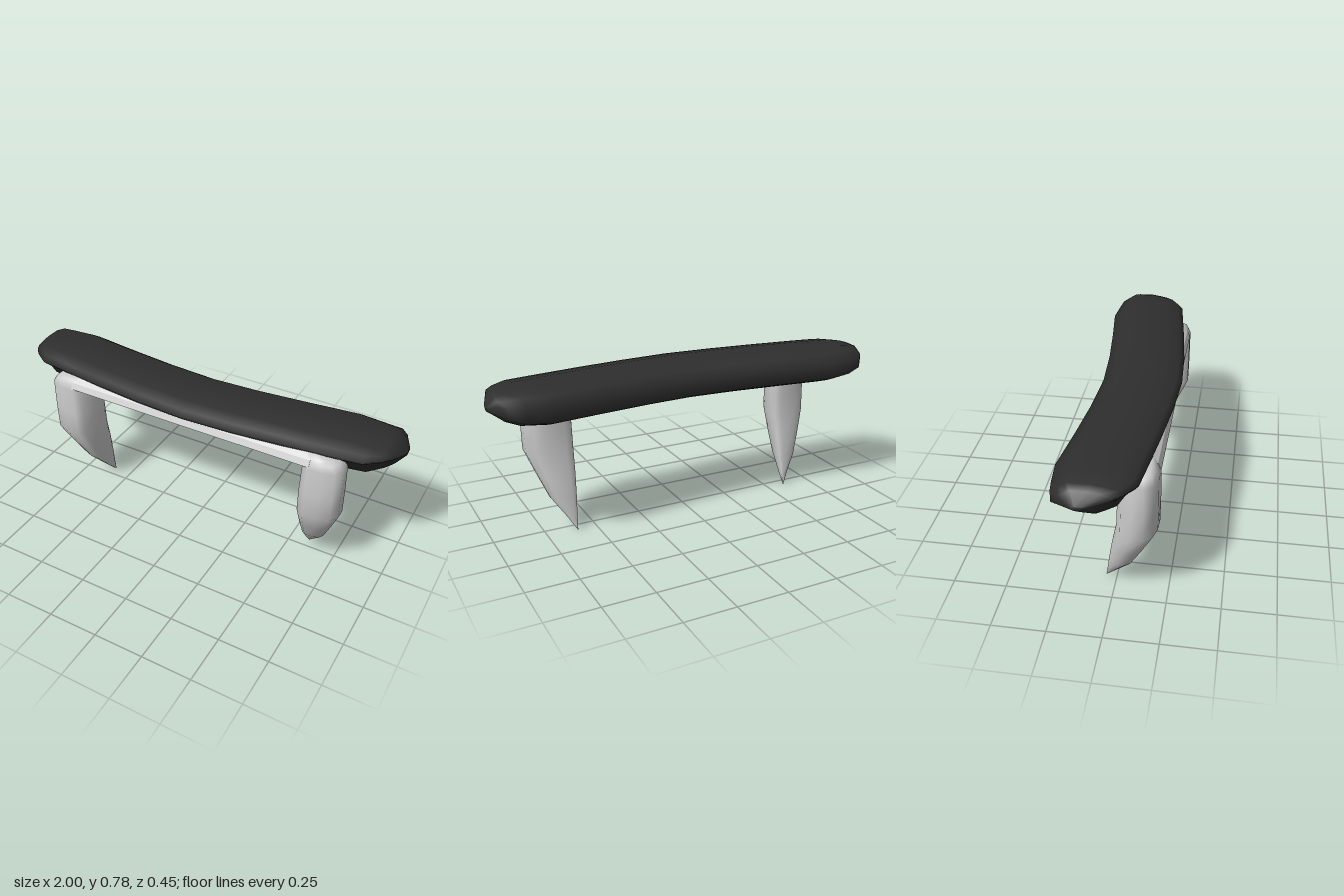
import * as THREE from 'three';

// Skin a list of equal-length rings (counter-clockwise about the loft direction) and close both ends.
function loft(rings) {
  const n = rings[0].length, pos = [], idx = [];
  rings.forEach(r => r.forEach(p => pos.push(...p)));
  for (let k = 0; k < rings.length - 1; k++) {
    for (let i = 0; i < n; i++) {
      const a = k * n + i, b = k * n + (i + 1) % n;
      idx.push(a, b, b + n, a, b + n, a + n);
    }
  }
  [0, rings.length - 1].forEach((k, end) => {
    const c = pos.length / 3;
    pos.push(...[0, 1, 2].map(j => rings[k].reduce((s, p) => s + p[j], 0) / n));
    for (let i = 0; i < n; i++) {
      const a = k * n + i, b = k * n + (i + 1) % n;
      end ? idx.push(a, b, c) : idx.push(b, a, c);
    }
  });
  const g = new THREE.BufferGeometry();
  g.setAttribute('position', new THREE.Float32BufferAttribute(pos, 3));
  g.setIndex(idx);
  g.computeVertexNormals();
  return g;
}

// Gum profile as [z, y]: front lip, over the top, down the back, undercut at the front
const GUM = [[0.225, 0.73], [0.2, 0.757], [0.14, 0.772], [0.06, 0.786], [-0.07, 0.782], [-0.115, 0.75],
  [-0.16, 0.715], [-0.16, 0.635], [-0.12, 0.618], [-0.05, 0.592], [0.075, 0.578],
  [0.13, 0.61], [0.165, 0.67], [0.195, 0.702], [0.21, 0.712]];

// Gum stations: x, shift in z, scale in z, shift in y, scale in y
const STATIONS = [[0, 0, 1, 0, 1], [0.25, -0.014, 1, 0, 1], [0.5, -0.04, 1, 0, 1], [0.74, -0.07, 1, 0, 0.99],
  [0.86, -0.072, 0.93, 0.004, 0.9], [0.93, -0.09, 0.78, 0.014, 0.69],
  [0.965, -0.09, 0.58, 0.02, 0.5], [1, -0.112, 0.15, 0.005, 0.12]];

function gumGeometry() {
  const half = STATIONS.slice().reverse();
  const all = [...half, ...STATIONS.slice(1).map(([x, ...r]) => [-x, ...r])];
  return loft(all.map(([x, dz, sz, dy, sy]) =>
    GUM.map(([z, y]) => [x, 0.695 + dy + (y - 0.695) * sy, 0.032 + dz + (z - 0.032) * sz])));
}

// Tooth section in a unit square: [inner to outer, back to front], cut away on the inner front
const TOOTH = [[0.3, 1], [0.15, 0.88], [0.06, 0.5], [0, 0.2], [0.04, 0.06], [0.2, 0], [0.58, 0.01],
  [0.84, 0.14], [1, 0.42], [1, 0.7], [0.88, 0.9], [0.62, 0.99]];

// Tooth levels: y, inner x, outer x, back z, front z
const LEVELS = [[0.72, 0.6, 0.67, 0.09, 0.165], [0.705, 0.595, 0.735, 0.05, 0.182],
  [0.69, 0.585, 0.765, 0.03, 0.193], [0.66, 0.575, 0.79, 0.02, 0.205], [0.52, 0.567, 0.792, 0.02, 0.205],
  [0.39, 0.565, 0.79, 0.014, 0.203], [0.27, 0.571, 0.744, -0.01, 0.145], [0.16, 0.579, 0.7, -0.028, 0.086],
  [0.06, 0.59, 0.632, -0.043, 0.002], [0.003, 0.595, 0.598, -0.052, -0.049]];

function toothGeometry(side) {
  return loft(LEVELS.map(([y, x0, x1, z0, z1]) => {
    const ring = TOOTH.map(([u, v]) => [side * (x0 + (x1 - x0) * u), y, z0 + (z1 - z0) * v]);
    return side < 0 ? ring.reverse() : ring;
  }));
}

// Straight bar with a bevelled top front edge, extruded along x
function barGeometry() {
  const s = new THREE.Shape([[-0.205, 0.668], [-0.19, 0.698], [-0.16, 0.72], [-0.05, 0.72], [-0.05, 0.668]]
    .map(p => new THREE.Vector2(...p)));
  const g = new THREE.ExtrudeGeometry(s, { depth: 1.29, bevelEnabled: false });
  g.translate(0, 0, -0.645);
  g.rotateY(Math.PI / 2);
  return g;
}

export function createModel() {
  const group = new THREE.Group();
  const grey = new THREE.MeshStandardMaterial({ color: 0xcccccc });
  const dark = new THREE.MeshStandardMaterial({ color: 0x2e2e2e });
  const add = (name, geometry, material) => {
    const m = new THREE.Mesh(geometry, material);
    m.name = name;
    group.add(m);
  };
  add('gum', gumGeometry(), dark);
  add('connectingBar', barGeometry(), grey);
  add('leftFang', toothGeometry(1), grey);
  add('rightFang', toothGeometry(-1), grey);
  return group;
}
